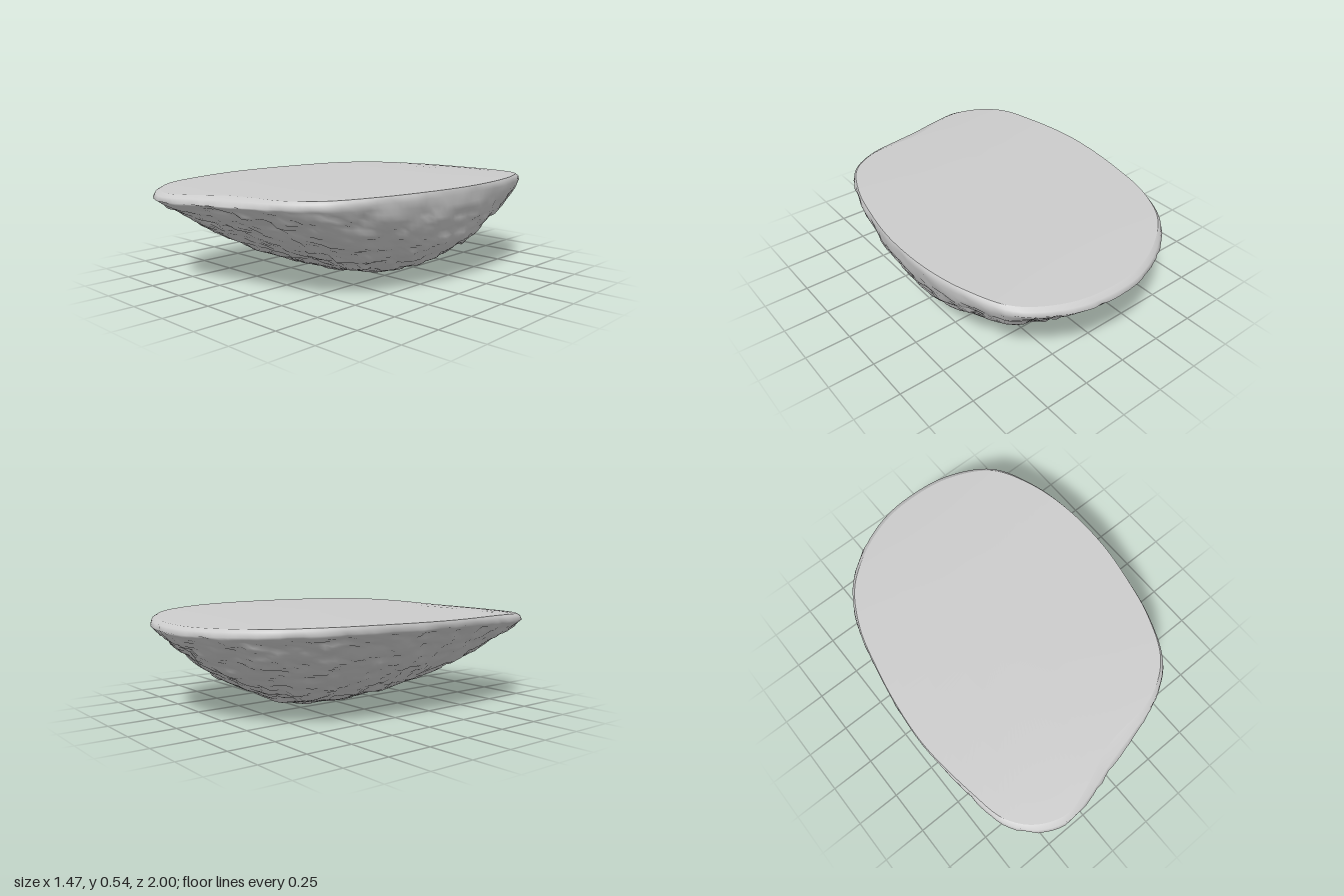
import * as THREE from 'three';

const SEGS = 160;
const RINGS = 46;
const KEEL = new THREE.Vector2(0.09, -0.1); // lowest point in plan (x, z)

// Plan outline of the rim (x, z)
const outline = new THREE.CatmullRomCurve3([
  [0.05, -1], [0.33, -0.97], [0.57, -0.83], [0.68, -0.6], [0.73, -0.35], [0.735, -0.05],
  [0.70, 0.2], [0.64, 0.45], [0.53, 0.68], [0.36, 0.81], [0.15, 0.88], [-0.05, 0.93],
  [-0.25, 0.98], [-0.40, 1], [-0.56, 0.93], [-0.66, 0.8], [-0.70, 0.6], [-0.735, 0.25],
  [-0.72, 0], [-0.68, -0.25], [-0.62, -0.5], [-0.50, -0.73], [-0.32, -0.88], [-0.13, -0.97],
].map(([x, z]) => new THREE.Vector3(x, 0, z)), true);
const rim = outline.getSpacedPoints(SEGS).slice(0, SEGS);

const topHeight = (x, z) => 0.53 + 0.014 * x - 0.028 * Math.abs(z) ** 4;

// Repeatable value in 0..1 for a lattice cell
function hash(i, j, k, n) {
  const s = Math.sin(i * 127.1 + j * 311.7 + k * 74.7 + n * 53.3) * 43758.5453;
  return s - Math.floor(s);
}

// Cellular noise: every cell is a small tilted chip
function chips(p, size) {
  const x = p.x / size, y = p.y / (size * 0.7), z = p.z / size;
  let best = Infinity, value = 0;
  for (let i = Math.floor(x) - 1; i < Math.floor(x) + 2; i++)
    for (let j = Math.floor(y) - 1; j < Math.floor(y) + 2; j++)
      for (let k = Math.floor(z) - 1; k < Math.floor(z) + 2; k++) {
        const dx = x - i - hash(i, j, k, 1), dy = y - j - hash(i, j, k, 2), dz = z - k - hash(i, j, k, 3);
        const d = dx * dx + dy * dy + dz * dz;
        if (d < best) {
          best = d;
          value = (hash(i, j, k, 4) - 0.5) * 0.6 + dx * (hash(i, j, k, 5) - 0.5)
            + dy * (hash(i, j, k, 6) - 0.5) + dz * (hash(i, j, k, 7) - 0.5) - d * 0.4;
        }
      }
  return value;
}

// Closed rings of equal length joined into a smooth skin
function loft(rings) {
  const geo = new THREE.BufferGeometry().setFromPoints(rings.flat());
  const index = [];
  for (let r = 0; r < rings.length - 1; r++)
    for (let i = 0; i < SEGS; i++) {
      const a = r * SEGS + i, b = r * SEGS + (i + 1) % SEGS;
      index.push(a, a + SEGS, b + SEGS, a, b + SEGS, b);
    }
  geo.setIndex(index);
  geo.computeVertexNormals();
  return geo;
}

// Point of the underside: f runs from keel (0) to rim (1)
function hullPoint(p, f) {
  const dx = p.x - KEEL.x, dz = p.z - KEEL.y;
  const c = dx / Math.hypot(dx, dz);
  const round = Math.max(0, c) ** 2; // +x flank bulges, -x flank is straighter
  const power = 1.95 - 0.3 * Math.max(0, -c) ** 2;
  const rise = (1 - round) * f ** power + round * (1 - Math.sqrt(1 - f * f * 0.985)) / 0.878;
  const h = (topHeight(p.x, p.z) - 0.035) * rise;
  return new THREE.Vector3(KEEL.x + dx * f, h, KEEL.y + dz * f);
}

// Edge of the flat top, set in further at the two ends
function topEdge(p, amount = 1) {
  const end = Math.min(1, Math.abs(p.z)) ** 2;
  const frontDip = p.z > 0 ? Math.exp(-(((p.x - 0.02) / 0.25) ** 2)) * 0.06 : 0;
  const s = 1 - amount * (0.008 + 0.03 * end + frontDip);
  const x = p.x * s, z = p.z * s;
  return new THREE.Vector3(x, topHeight(x, z), z);
}

export function createModel() {
  const group = new THREE.Group();
  const material = new THREE.MeshStandardMaterial({ color: 0xcccccc });

  // Chipped underside, finished by a narrow bevel at the rim
  const rings = [];
  for (let r = 0; r <= RINGS; r++) {
    const f = Math.sin((r / RINGS) * Math.PI / 2) * 0.4 + (r / RINGS) * 0.6;
    rings.push(rim.map((p) => hullPoint(p, f)));
  }
  rings.push(rim.map((p) => {
    const q = topEdge(p, 0.3);
    q.y -= 0.012;
    return q;
  }));
  rings.push(rim.map((p) => topEdge(p)));
  const hull = loft(rings);
  const pos = hull.attributes.position, normal = hull.attributes.normal;
  const v = new THREE.Vector3(), n = new THREE.Vector3();
  for (let i = 0; i < SEGS * (RINGS + 1); i++) {
    const f = Math.floor(i / SEGS) / RINGS;
    const fade = Math.min(1, f * 12) * (f > 0.95 ? 0.5 : 1);
    v.fromBufferAttribute(pos, i);
    n.fromBufferAttribute(normal, i);
    const d = 0.02 * chips(v, 0.1) + 0.01 * chips(v, 0.19);
    v.addScaledVector(n, d * fade);
    pos.setXYZ(i, v.x, Math.max(0, v.y), v.z);
  }
  hull.computeVertexNormals();
  const underside = new THREE.Mesh(hull, material);
  underside.name = 'rockUnderside';

  // Almost flat cut face
  const face = [1, 0.9, 0.7, 0.45, 0.2, 0].map((s) => rim.map((p) => {
    const e = topEdge(p);
    const x = e.x * s, z = e.z * s;
    return new THREE.Vector3(x, topHeight(x, z), z);
  }));
  const top = new THREE.Mesh(loft(face), material);
  top.name = 'flatTop';

  group.add(underside, top);
  return group;
}
